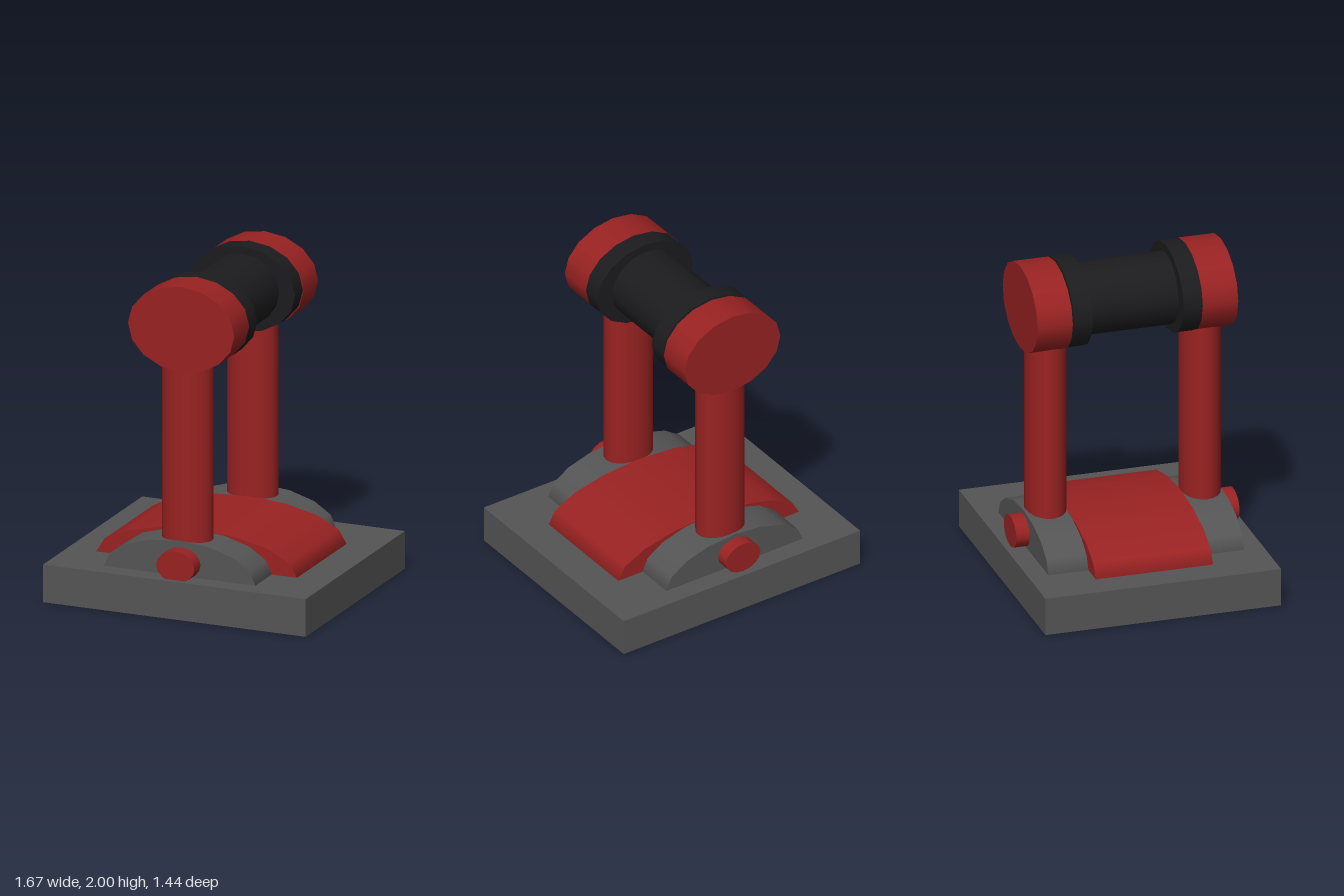
import * as THREE from 'three';

export function createModel() {
  const model = new THREE.Group();
  const red = new THREE.MeshStandardMaterial({ color: 0x992222 });
  const black = new THREE.MeshStandardMaterial({ color: 0x1c1c1e });
  const grey = new THREE.MeshStandardMaterial({ color: 0x555555 });

  const add = (name, geometry, material) => {
    const mesh = new THREE.Mesh(geometry, material);
    mesh.name = name;
    model.add(mesh);
  };

  // Elliptical cylinder lying along z, from z0 to z1
  const barrel = (name, material, x, y, rx, ry, z0, z1, sides = 16) => {
    const g = new THREE.CylinderGeometry(1, 1, z1 - z0, sides);
    g.rotateX(Math.PI / 2);
    g.scale(rx, ry, 1);
    g.translate(x, y, (z0 + z1) / 2);
    add(name, g, material);
  };

  // Base slab
  const base = new THREE.BoxGeometry(1.67, 0.23, 1.44);
  base.translate(0, 0.115, 0);
  add('base', base, grey);

  // Wide arched saddle, its lower half sunk in the base
  barrel('saddle', red, -0.015, 0.23, 0.638, 0.215, -0.355, 0.362);

  // Grey arches and the pins through them
  barrel('frontArch', grey, -0.02, 0.23, 0.482, 0.214, 0.36, 0.6);
  barrel('backArch', grey, -0.03, 0.23, 0.482, 0.214, -0.6, -0.352);
  barrel('frontPin', red, -0.008, 0.31, 0.122, 0.095, 0.55, 0.69);
  barrel('backPin', red, -0.035, 0.325, 0.122, 0.095, -0.682, -0.55);

  // Upright posts
  for (const [name, z] of [['frontPost', 0.48], ['backPost', -0.463]]) {
    const g = new THREE.CylinderGeometry(1, 1, 1.34, 20);
    g.scale(0.155, 1, 0.12);
    g.translate(-0.02, 0.97, z);
    add(name, g, red);
  }

  // Cross bar: red end heads, black collars and a black grip
  barrel('frontHead', red, -0.003, 1.74, 0.338, 0.26, 0.398, 0.615);
  barrel('backHead', red, -0.007, 1.726, 0.338, 0.26, -0.612, -0.397);
  barrel('frontCollar', black, -0.003, 1.738, 0.338, 0.26, 0.282, 0.398);
  barrel('backCollar', black, -0.007, 1.732, 0.338, 0.26, -0.39, -0.275);
  barrel('grip', black, -0.005, 1.734, 0.235, 0.214, -0.3, 0.3);

  return model;
}
